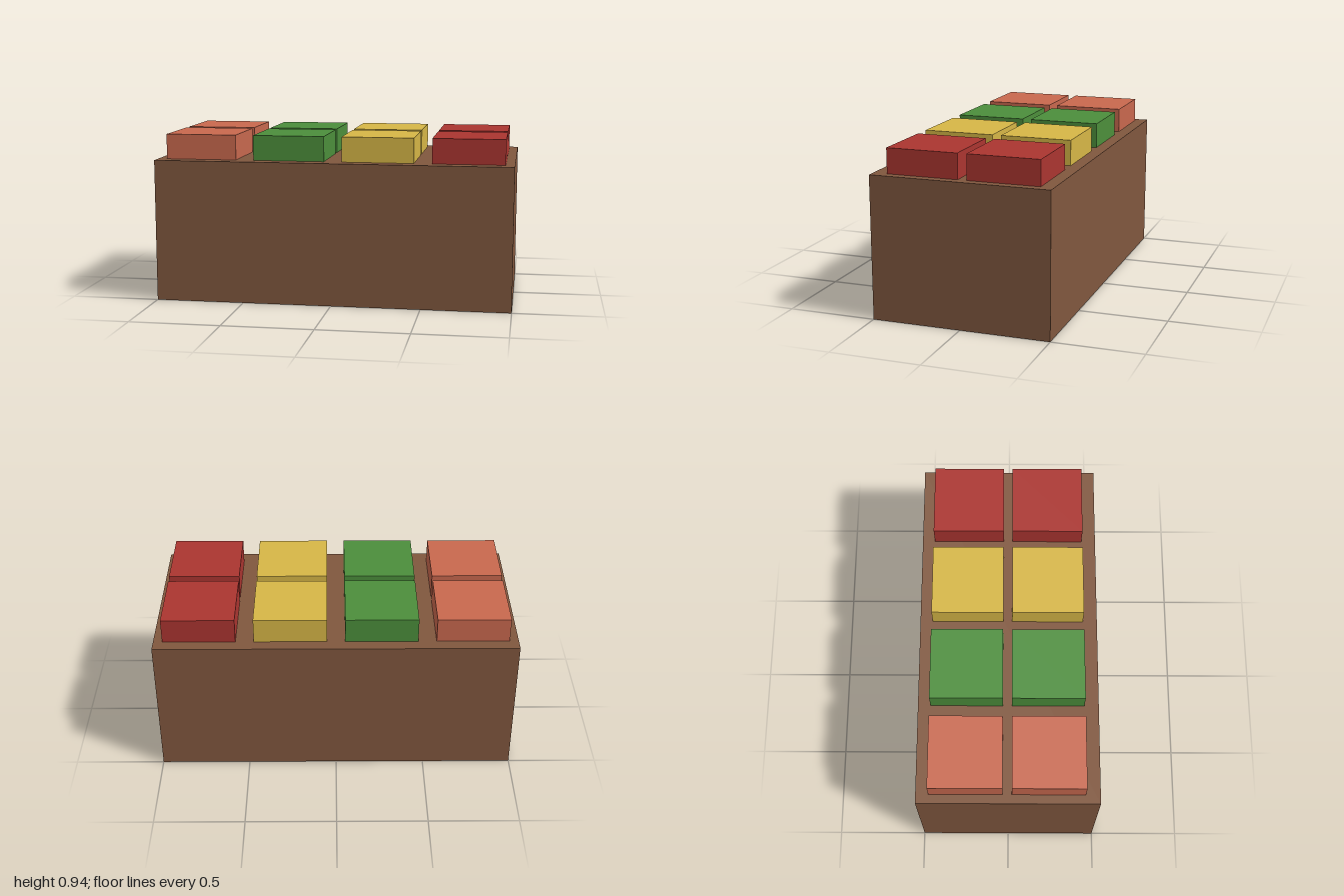
import * as THREE from 'three';

export function createModel() {
  const model = new THREE.Group();
  model.name = 'produceCrate';

  function addBox(name, size, position, color) {
    const mesh = new THREE.Mesh(
      new THREE.BoxGeometry(...size),
      new THREE.MeshStandardMaterial({ color })
    );
    mesh.name = name;
    mesh.position.set(...position);
    model.add(mesh);
  }

  // Solid base
  addBox('base', [2, 0.8, 1], [0, 0.4, 0], 0x80573e);

  // Four coloured columns of blocks, two rows deep
  const columns = [
    ['orange', 0xc8684e],
    ['green', 0x4c8e3b],
    ['yellow', 0xd6b646],
    ['red', 0xab3530],
  ];
  const rows = [['Front', 0.22], ['Back', -0.23]];
  const height = 0.14;

  columns.forEach(([name, color], i) => {
    for (const [row, z] of rows) {
      addBox(`${name}Block${row}`, [0.4, height, 0.4], [-0.75 + i * 0.5, 0.8 + height / 2, z], color);
    }
  });

  return model;
}
